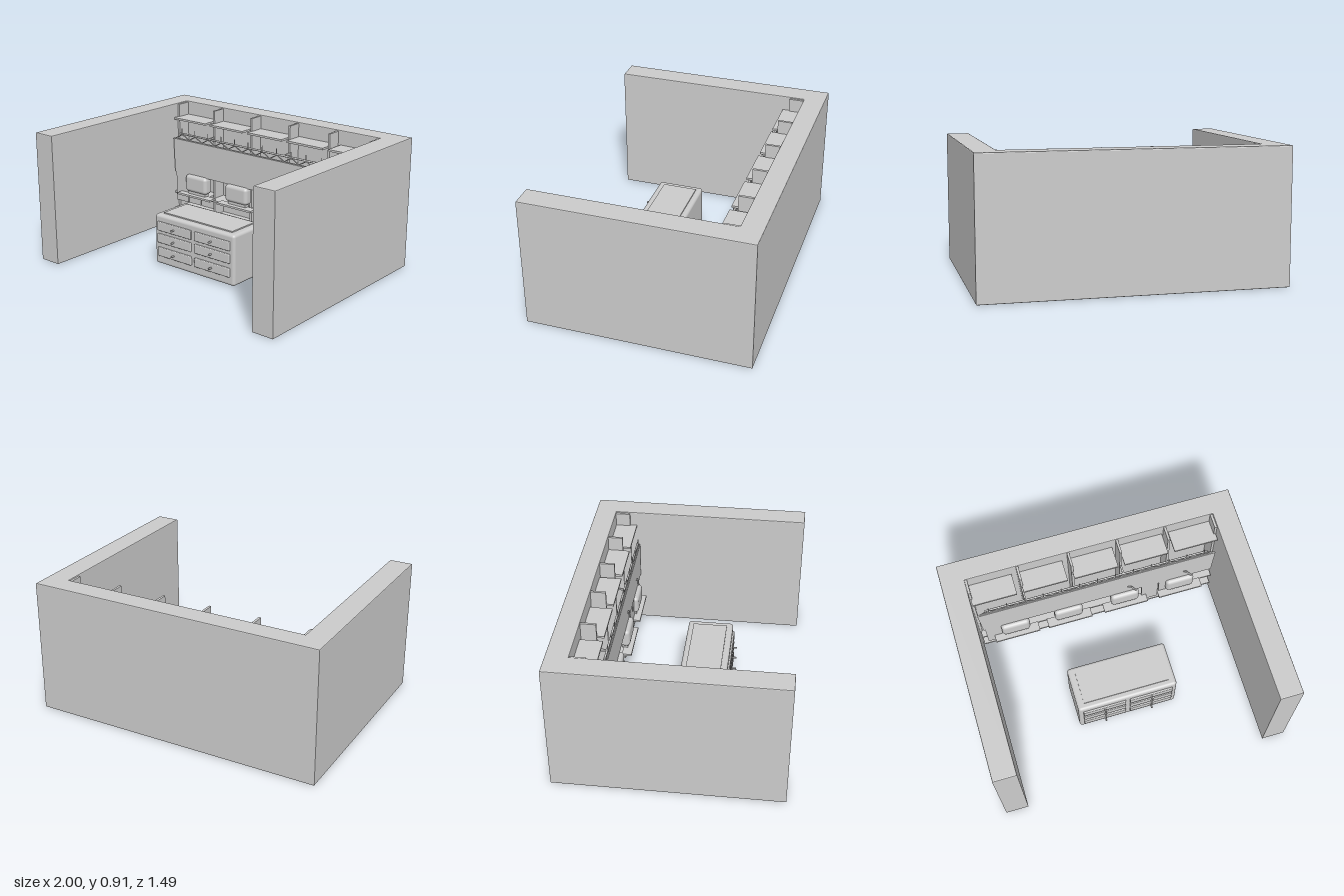
import * as THREE from 'three';
import { RoundedBoxGeometry } from 'three/addons/geometries/RoundedBoxGeometry.js';

export function createModel() {
  const model = new THREE.Group();
  const mat = new THREE.MeshStandardMaterial({ color: 0xcccccc, side: THREE.DoubleSide });
  const add = (name, geo, x = 0, y = 0, z = 0) => {
    const m = new THREE.Mesh(geo, mat);
    m.name = name;
    m.position.set(x, y, z);
    model.add(m);
    return m;
  };
  // boxes given by their extents
  const span = (name, x0, x1, y0, y1, z0, z1, r = 0) => add(name,
    r ? new RoundedBoxGeometry(x1 - x0, y1 - y0, z1 - z0, 3, r)
      : new THREE.BoxGeometry(x1 - x0, y1 - y0, z1 - z0),
    (x0 + x1) / 2, (y0 + y1) / 2, (z0 + z1) / 2);
  // a bent rod through a few points
  const rod = (name, pts, r, x = 0, y = 0, z = 0) => {
    const path = new THREE.CurvePath();
    const v = pts.map(p => new THREE.Vector3(...p));
    for (let i = 1; i < v.length; i++) path.add(new THREE.LineCurve3(v[i - 1], v[i]));
    return add(name, new THREE.TubeGeometry(path, 24, r, 6), x, y, z);
  };

  // U-shaped wall, drawn in plan and extruded upwards
  const b = 0.006;
  const plan = new THREE.Shape([
    [-1, -0.745], [-0.845, -0.745], [-0.845, 0.6], [0.845, 0.6],
    [0.845, -0.745], [1, -0.745], [1, 0.745], [-1, 0.745],
  ].map(p => new THREE.Vector2(...p)));
  const wall = new THREE.ExtrudeGeometry(plan, {
    depth: 0.908 - 2 * b, bevelEnabled: true, bevelThickness: b, bevelSize: b, bevelOffset: -b, bevelSegments: 2,
  });
  wall.rotateX(-Math.PI / 2);
  add('walls', wall, 0, b, 0);

  // upright dividers
  for (const x of [-0.837, -0.495, -0.15, 0.182, 0.512, 0.835])
    span('divider', x - 0.008, x + 0.008, 0.02, 0.9, -0.61, -0.5);

  // shelves, one row per level
  for (const y of [0.1, 0.23, 0.8])
    for (let i = 0; i < 5; i++) {
      const x = -0.84 + i * 0.345;
      span('shelf', x, x + 0.3, y - 0.007, y + 0.007, -0.605, -0.453);
    }

  // hanging rail and its wall brackets
  const rail = add('hangingRail', new THREE.CylinderGeometry(0.007, 0.007, 1.55, 10), 0, 0.7, -0.44);
  rail.rotation.z = Math.PI / 2;
  for (const x of [-0.495, 0.182])
    span('railBracket', x - 0.006, x + 0.006, 0.694, 0.706, -0.51, -0.44);

  // hangers with a garment each
  const panel = (topW, botW, h) => {
    const s = new THREE.Shape([
      new THREE.Vector2(-botW / 2, -h), new THREE.Vector2(botW / 2, -h),
      new THREE.Vector2(topW / 2, 0), new THREE.Vector2(-topW / 2, 0),
    ]);
    return new THREE.ExtrudeGeometry(s, { depth: 0.012, bevelEnabled: false });
  };
  const longOnes = [0, 1, 9, 10, 11];
  for (let i = 0; i < 13; i++) {
    const x = -0.748 + i * 0.1247;
    rod('hanger', [[-0.065, 0.658, 0], [0, 0.695, 0], [0.065, 0.658, 0], [-0.065, 0.658, 0]], 0.004, x, 0, -0.44);
    rod('hangerHook', [[0, 0.69, 0], [0, 0.742, 0]], 0.003, x, 0, -0.434);
    add('shortGarment', panel(0.165, 0.14, 0.255), x, 0.655, -0.444);
    if (longOnes.includes(i)) add('longGarment', panel(0.12, 0.116, 0.475), x, 0.655, -0.446);
  }

  // handbags on small display shelves
  [-0.597, -0.217, 0.19, 0.59].forEach((x, i) => {
    span('displayShelf', x - 0.158, x + 0.158, 0.244, 0.258, -0.45, -0.383);
    span('handbag', x - 0.1, x + 0.1, 0.277, 0.405, -0.48, -0.402, 0.025);
    span('handbagBase', x - 0.08, x + 0.08, 0.257, 0.28, -0.46, -0.42);
    // handle leans forward at one end
    const lean = i > 1 ? 0.025 : 0;
    rod('handbagHandle', [[-0.085, 0.39, -0.46], [-0.045, 0.482, -0.46],
      [0.045, 0.482, -0.45 + lean], [0.085, 0.39, -0.45 + lean]], 0.006, x);
  });

  // island dresser
  span('islandBody', -0.348, 0.345, 0.006, 0.36, -0.015, 0.297, 0.02);
  span('islandTopPanel', -0.3, 0.295, 0.35, 0.368, 0.022, 0.255);
  for (const [x0, x1] of [[-0.317, -0.018], [0.012, 0.312]])
    for (const [y0, y1] of [[0.067, 0.13], [0.163, 0.227], [0.25, 0.314]]) {
      span('drawerFront', x0, x1, y0, y1, 0.285, 0.31, 0.006);
      const knob = add('drawerKnob', new THREE.CylinderGeometry(0.006, 0.006, 0.035, 10), (x0 + x1) / 2, (y0 + y1) / 2, 0.32);
      knob.rotation.x = Math.PI / 2;
    }
  return model;
}
